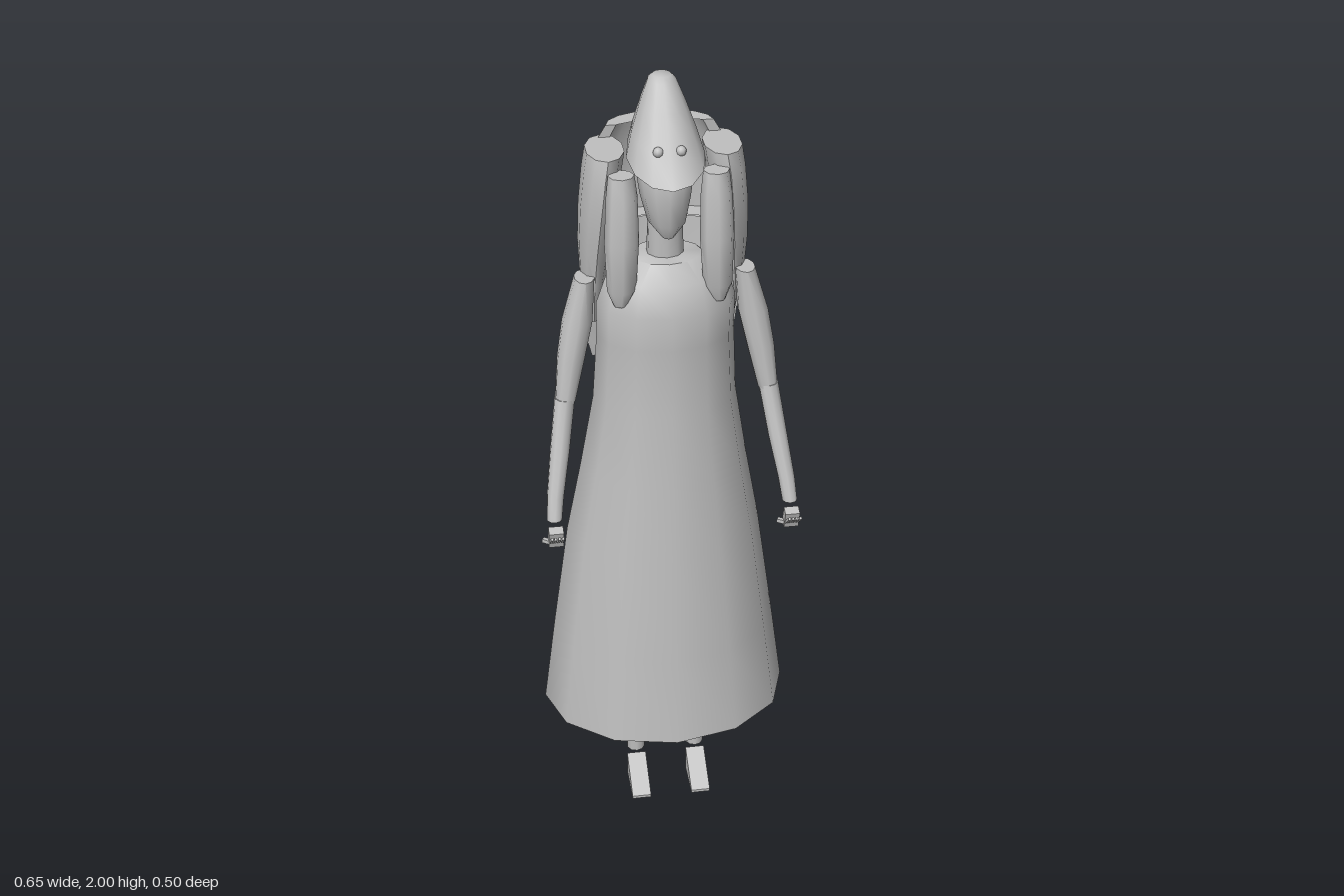
import * as THREE from 'three';
import { toCreasedNormals } from 'three/addons/utils/BufferGeometryUtils.js';

// Skin a stack of closed loops (bottom to top) and close both ends
function skin(loops) {
  const n = loops[0].length, pos = [], idx = [];
  loops.forEach((loop) => loop.forEach((p) => pos.push(...p)));
  const centre = (loop) => [0, 1, 2].map((k) => loop.reduce((t, p) => t + p[k], 0) / n);
  const last = (loops.length - 1) * n, c0 = loops.length * n, c1 = c0 + 1;
  pos.push(...centre(loops[0]), ...centre(loops[loops.length - 1]));
  for (let i = 0; i < n; i++) {
    const j = (i + 1) % n;
    for (let r = 0; r < last; r += n) idx.push(r + i, r + j, r + n + i, r + j, r + n + j, r + n + i);
    idx.push(c0, j, i, c1, last + i, last + j);
  }
  const g = new THREE.BufferGeometry();
  g.setAttribute('position', new THREE.Float32BufferAttribute(pos, 3));
  g.setIndex(idx);
  return toCreasedNormals(g, 0.9);
}

// Elliptical rings: [y, centre x, centre z, radius x, radius z, forward tilt]
function loft(rings, sides = 10, side = 1) {
  return skin(rings.map(([y, cx, cz, rx, rz, tilt = 0]) =>
    Array.from({ length: sides }, (_, i) => {
      const a = (i / sides) * Math.PI * 2;
      return [cx * side + rx * Math.sin(a), y - tilt * Math.cos(a), cz + rz * Math.cos(a)];
    })));
}

// Crescent rings for the back hair: [y, half width, front z, back z, thickness, ragged drop]
function crescent(rings, steps = 8) {
  return skin(rings.map(([y, w, zf, zb, t, rag = 0]) => {
    const arc = (inset) => Array.from({ length: steps + 1 }, (_, i) => {
      const a = (i / steps) * Math.PI;
      const drop = rag * (0.6 * Math.abs(Math.cos(a)) + (i % 2 ? 0.25 : 0));
      return [(w - inset) * Math.cos(a), y + drop, zf + (zb - zf + inset) * Math.sin(a)];
    });
    return [...arc(0), ...arc(t).reverse()];
  }));
}

export function createModel() {
  const model = new THREE.Group();
  const grey = new THREE.MeshStandardMaterial({ color: 0xc0c0c0 });
  grey.name = 'plain grey';
  const add = (name, geometry, parent = model) => {
    const mesh = new THREE.Mesh(geometry, grey);
    mesh.name = name;
    parent.add(mesh);
    return mesh;
  };

  // Long flared dress with rounded shoulders
  add('dress', loft([
    [0.25, 0.004, -0.004, 0.32, 0.245],
    [0.5, 0.002, 0.002, 0.287, 0.222],
    [0.8, 0, 0.01, 0.245, 0.19],
    [1.0, 0, 0.022, 0.208, 0.162],
    [1.2, 0, 0.035, 0.175, 0.135],
    [1.38, 0, 0.05, 0.165, 0.112],
    [1.47, 0, 0.058, 0.165, 0.112],
    [1.54, 0, 0.055, 0.14, 0.09],
    [1.585, 0, 0.05, 0.085, 0.065],
  ], 12));

  // Neck, face and pointed hood
  add('neck', loft([[1.56, 0, 0.04, 0.045, 0.04], [1.7, 0, 0.045, 0.04, 0.04]]));
  add('head', loft([
    [1.645, 0, 0.085, 0.015, 0.02],
    [1.68, 0, 0.07, 0.045, 0.05],
    [1.74, 0, 0.05, 0.06, 0.075],
    [1.81, 0, 0.045, 0.07, 0.085],
    [1.86, 0, 0.03, 0.06, 0.065],
  ], 12));
  add('hood', loft([
    [1.83, 0, 0.05, 0.09, 0.12, 0.035],
    [1.88, 0, 0.028, 0.075, 0.095, 0.022],
    [1.94, 0, 0.006, 0.053, 0.063, 0.01],
    [1.99, 0, -0.01, 0.032, 0.035, 0.002],
    [2.0, 0, -0.01, 0.022, 0.024],
  ], 12));

  // Back hair in two overlapping curved layers
  add('upperBackHair', crescent([
    [1.61, 0.19, -0.05, -0.158, 0.035],
    [1.7, 0.185, -0.05, -0.156, 0.035],
    [1.8, 0.165, -0.045, -0.138, 0.03],
    [1.87, 0.125, -0.04, -0.112, 0.025],
  ]));
  add('lowerBackHair', crescent([
    [1.2, 0.165, -0.055, -0.095, 0.02, 0.1],
    [1.32, 0.185, -0.04, -0.13, 0.035, 0.04],
    [1.45, 0.195, -0.035, -0.15, 0.04],
    [1.62, 0.188, -0.035, -0.15, 0.035],
  ]));

  for (const s of [1, -1]) {
    const half = new THREE.Group();
    half.name = s > 0 ? 'leftSide' : 'rightSide';
    model.add(half);

    // Hair locks beside the face and over the shoulder
    add('eye', new THREE.SphereGeometry(0.012, 10, 8), half).position.set(s * 0.026, 1.865, 0.11);
    add('frontLock', loft([
      [1.49, 0.115, 0.12, 0.015, 0.012],
      [1.53, 0.112, 0.118, 0.034, 0.026],
      [1.65, 0.11, 0.112, 0.04, 0.035],
      [1.76, 0.108, 0.105, 0.036, 0.034],
      [1.81, 0.108, 0.1, 0.03, 0.028],
    ], 8, s), half);
    add('sideLock', loft([
      [1.39, 0.165, -0.01, 0.012, 0.02],
      [1.5, 0.165, -0.005, 0.03, 0.045],
      [1.6, 0.16, 0.003, 0.04, 0.064],
      [1.7, 0.152, 0.012, 0.045, 0.077],
      [1.79, 0.143, 0.016, 0.045, 0.082],
      [1.84, 0.135, 0.016, 0.045, 0.076],
    ], 10, s), half);

    // Arm in two sections
    add('upperArm', loft([
      [1.22, 0.246, 0.075, 0.025, 0.027],
      [1.33, 0.228, 0.06, 0.034, 0.034],
      [1.42, 0.21, 0.048, 0.037, 0.038],
      [1.53, 0.19, 0.04, 0.024, 0.037],
    ], 10, s), half);
    add('forearm', loft([
      [0.945, 0.29, 0.173, 0.019, 0.019],
      [1.0, 0.284, 0.153, 0.021, 0.022],
      [1.1, 0.267, 0.115, 0.024, 0.025],
      [1.23, 0.247, 0.075, 0.025, 0.027],
    ], 10, s), half);

    // Hand with four fingers and a thumb
    const hand = new THREE.Group();
    hand.name = 'hand';
    hand.position.set(s * 0.29, 0.91, 0.2);
    half.add(hand);
    add('palm', new THREE.BoxGeometry(0.036, 0.05, 0.024), hand).rotation.x = 0.3;
    for (let i = 0; i < 4; i++) {
      const finger = add('finger', new THREE.BoxGeometry(0.006, 0.007, 0.05), hand);
      finger.position.set(-0.0135 + i * 0.009, 0.008, 0.027);
      finger.rotation.x = -0.75;
    }
    const thumb = add('thumb', new THREE.BoxGeometry(0.026, 0.01, 0.01), hand);
    thumb.position.set(-0.02, -0.015, -0.006);
    thumb.rotation.y = -0.6;

    // Lower leg and wedge foot
    add('leg', loft([
      [0.085, 0.08, 0.045, 0.024, 0.025],
      [0.25, 0.08, 0.045, 0.028, 0.031],
      [0.5, 0.08, 0.045, 0.034, 0.04],
    ], 10, s), half);
    const foot = new THREE.BoxGeometry(0.05, 0.07, 0.105);
    const p = foot.attributes.position;
    for (let i = 0; i < p.count; i++) if (p.getY(i) > 0 && p.getZ(i) > 0) p.setY(i, -0.027);
    foot.computeVertexNormals();
    add('foot', foot, half).position.set(s * 0.08, 0.035, 0.1125);
  }
  return model;
}
